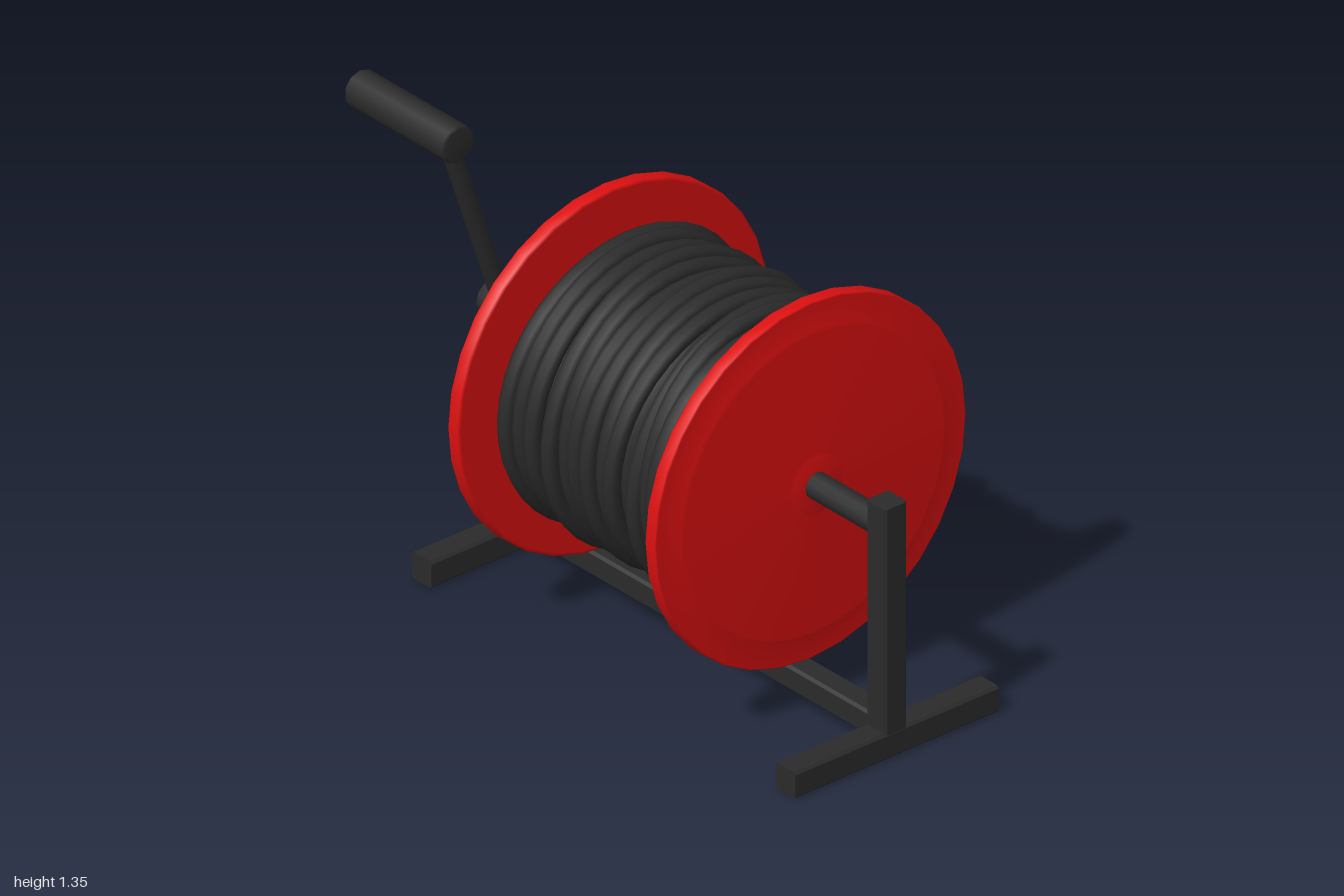
import * as THREE from 'three';

export function createModel() {
  const model = new THREE.Group();
  const black = new THREE.MeshStandardMaterial({ color: 0x2b2b2b });
  const red = new THREE.MeshStandardMaterial({ color: 0xdd1010 });
  const axisY = 0.7;

  function add(name, geometry, material, parent = model) {
    const mesh = new THREE.Mesh(geometry, material);
    mesh.name = name;
    parent.add(mesh);
    return mesh;
  }

  // Square bar with chamfered long edges, centred and running along z
  function barGeometry(size, length, c = 0.008) {
    const h = size / 2;
    const corners = [[h, h - c], [h - c, h], [c - h, h], [-h, h - c],
      [-h, c - h], [c - h, -h], [h - c, -h], [h, c - h]];
    const shape = new THREE.Shape(corners.map(([x, y]) => new THREE.Vector2(x, y)));
    return new THREE.ExtrudeGeometry(shape, { depth: length, bevelEnabled: false })
      .translate(0, 0, -length / 2);
  }

  // Cylinder along z with slightly bevelled ends
  function rodGeometry(radius, length, sides, bevel = 0) {
    const h = length / 2;
    const profile = [[0, -h], [radius - bevel, -h], [radius, bevel - h],
      [radius, h - bevel], [radius - bevel, h], [0, h]];
    const points = profile.map(([r, y]) => new THREE.Vector2(r, y));
    const geometry = new THREE.LatheGeometry(points, sides).rotateX(Math.PI / 2);
    return geometry;
  }

  // Stand: a foot and an upright at each end, joined by a low rail
  for (const [side, z] of [['front', 0.96], ['back', -0.55]]) {
    add(side + 'Foot', barGeometry(0.083, 0.725).rotateY(Math.PI / 2), black).position.set(-0.003, 0.0415, z);
    add(side + 'Post', barGeometry(0.081, 0.74).rotateX(Math.PI / 2), black).position.set(-0.005, 0.41, z);
  }
  add('baseRail', barGeometry(0.077, 1.55), black).position.set(-0.005, 0.083, 0.205);
  add('axle', rodGeometry(0.04, 1.53, 12, 0.002), black).position.set(-0.003, axisY, 0.2);

  // Reel flanges: thin disc, raised plate and hub in one smooth profile
  const flangeProfile = [[0, 0], [0.545, 0], [0.555, 0.004], [0.555, 0.041], [0.55, 0.045],
    [0.465, 0.045], [0.465, 0.06], [0.09, 0.06], [0.09, 0.072], [0, 0.072]];
  const flange = new THREE.LatheGeometry(flangeProfile.map(([r, y]) => new THREE.Vector2(r, y)), 32);
  for (const [side, z, turn] of [['front', 0.595, 1], ['back', -0.178, -1]]) {
    const mesh = add(side + 'Flange', flange, red);
    mesh.position.set(0, axisY, z);
    mesh.rotation.x = turn * Math.PI / 2;
  }

  // Cable: core, helical inner layer and uneven outer loops
  const cable = new THREE.Group();
  cable.name = 'cable';
  cable.position.y = axisY;
  model.add(cable);
  add('drumCore', new THREE.CylinderGeometry(0.34, 0.34, 0.77, 32).rotateX(Math.PI / 2), black, cable)
    .position.z = 0.21;

  const turns = 15;
  const helix = [];
  for (let i = 0; i <= turns * 24; i++) {
    const a = (i / 24) * Math.PI * 2;
    const r = 0.362 + 0.004 * Math.sin(a * 0.37);
    helix.push(new THREE.Vector3(Math.cos(a) * r, Math.sin(a) * r, 0.57 - 0.724 * i / (turns * 24)));
  }
  add('innerWinding', new THREE.TubeGeometry(new THREE.CatmullRomCurve3(helix), turns * 32, 0.027, 8), black, cable);

  const loopZ = [0.535, 0.483, 0.433, 0.386, 0.31, 0.268, 0.195, 0.15, 0.104, 0.04, -0.027, -0.085, -0.132];
  loopZ.forEach((z, n) => {
    const points = [];
    for (let i = 0; i < 24; i++) {
      const a = (i / 24) * Math.PI * 2;
      const r = 0.414 + 0.009 * Math.sin(a * 2 + n * 2.1) + 0.004 * Math.sin(a * 3 + n);
      points.push(new THREE.Vector3(Math.cos(a) * r, Math.sin(a) * r, z + 0.006 * Math.sin(a + n * 1.7)));
    }
    const curve = new THREE.CatmullRomCurve3(points, true);
    add('outerWinding' + (n + 1), new THREE.TubeGeometry(curve, 40, 0.026, 8, true), black, cable);
  });

  // Crank: hub on the axle end, leaning arm and handle
  const crank = new THREE.Group();
  crank.name = 'crank';
  model.add(crank);
  add('crankHub', rodGeometry(0.056, 0.11, 12, 0.008), black, crank).position.set(0, axisY, -0.637);
  const from = new THREE.Vector3(0, axisY, -0.64);
  const to = new THREE.Vector3(-0.2, 1.29, -0.64);
  const arm = add('crankArm', new THREE.CylinderGeometry(0.028, 0.028, from.distanceTo(to), 8), black, crank);
  arm.position.copy(from).lerp(to, 0.5);
  arm.quaternion.setFromUnitVectors(new THREE.Vector3(0, 1, 0), to.clone().sub(from).normalize());
  add('crankHandle', rodGeometry(0.057, 0.415, 10, 0.006), black, crank).position.set(-0.202, 1.29, -0.7925);

  return model;
}
